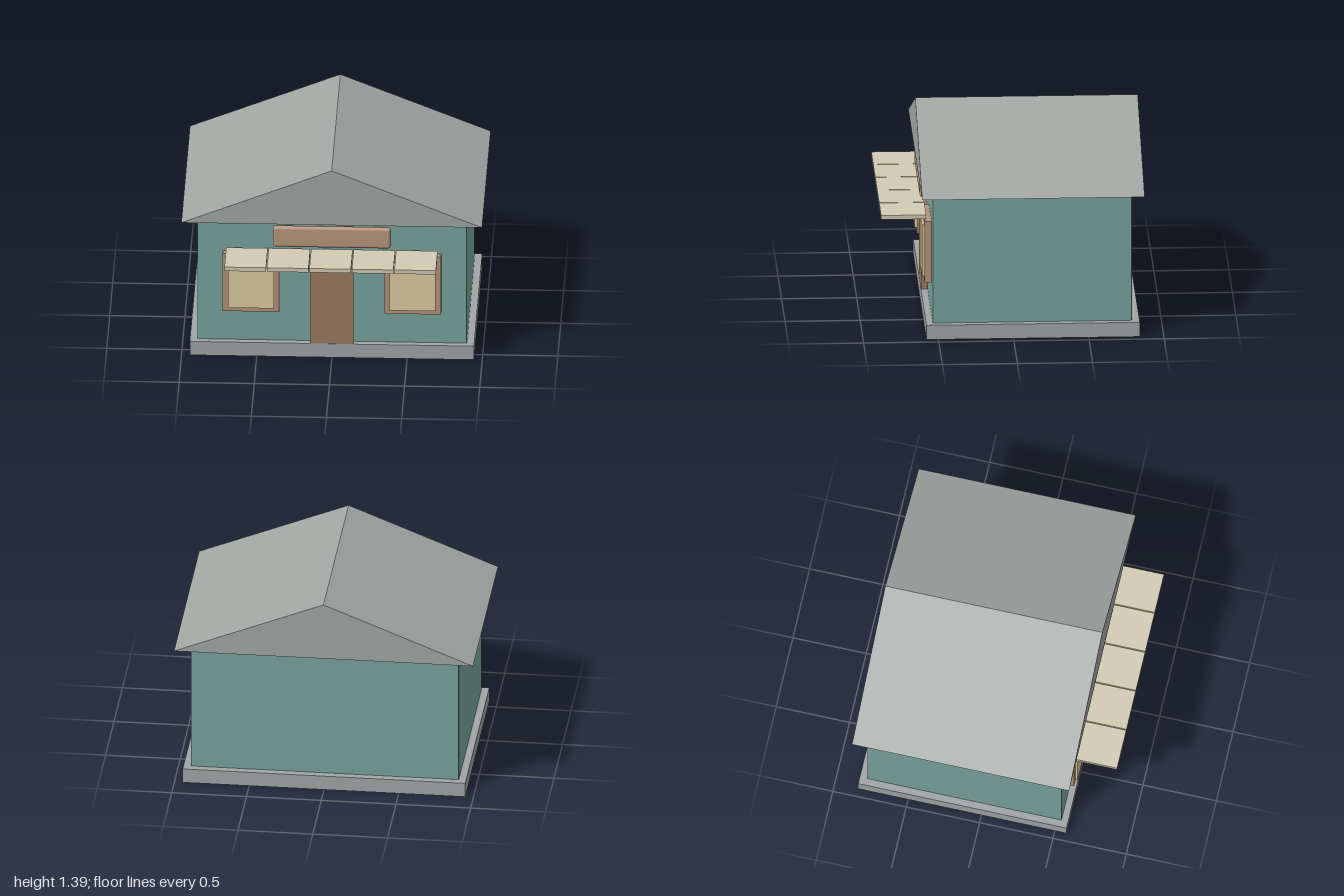
import * as THREE from 'three';
import { RoundedBoxGeometry } from 'three/addons/geometries/RoundedBoxGeometry.js';

const mat = (color, extra = {}) => {
  const m = new THREE.MeshStandardMaterial({ color });
  return Object.assign(m, extra);
};
const colors = {
  stone: mat(0xa0a5a5),
  roof: mat(0xa1a6a3, { side: THREE.DoubleSide, flatShading: true }),
  wall: mat(0x78a39d),
  frame: mat(0xb49379),
  sign: mat(0xb8957a),
  door: mat(0x9c7a5f),
  pane: mat(0xdecba0),
  awning: mat(0xd2cab4),
};

export function createModel() {
  const model = new THREE.Group();
  model.name = 'shop';

  // Places a box by its min and max corners; radius rounds its edges
  function box(name, material, [x0, y0, z0], [x1, y1, z1], radius = 0, segments = 2) {
    const size = [x1 - x0, y1 - y0, z1 - z0];
    const geometry = radius
      ? new RoundedBoxGeometry(...size, segments, radius)
      : new THREE.BoxGeometry(...size);
    const mesh = new THREE.Mesh(geometry, material);
    mesh.position.set((x0 + x1) / 2, (y0 + y1) / 2, (z0 + z1) / 2);
    mesh.name = name;
    model.add(mesh);
    return mesh;
  }

  // Base slab and walls
  box('foundation', colors.stone, [-0.945, 0, -0.84], [0.945, 0.1, 0.58]);
  box('walls', colors.wall, [-0.897, 0.095, -0.79], [0.897, 0.99, 0.535], 0.006);

  // Gable roof: two slopes and two gables, open underneath
  const [eave, ridge, back, front] = [0.99, 1.39, -0.87, 0.61];
  const corners = [
    [-1, eave, front], [1, eave, front], [0, ridge, front],
    [-1, eave, back], [1, eave, back], [0, ridge, back],
  ];
  const faces = [0, 1, 2, 4, 3, 5, 1, 4, 5, 1, 5, 2, 3, 0, 2, 3, 2, 5];
  const roofGeometry = new THREE.BufferGeometry();
  roofGeometry.setAttribute('position',
    new THREE.Float32BufferAttribute(faces.flatMap((i) => corners[i]), 3));
  roofGeometry.computeVertexNormals();
  const roof = new THREE.Mesh(roofGeometry, colors.roof);
  roof.name = 'roof';
  model.add(roof);

  // Door
  box('door', colors.door, [-0.143, 0.098, 0.52], [0.143, 0.663, 0.578]);

  // Framed windows on both sides of the door
  for (const [side, label] of [[-1, 'right'], [1, 'left']]) {
    const frame = box(`${label}WindowFrame`, colors.frame,
      [-0.188, 0.33, 0.53], [0.188, 0.755, 0.582]);
    const pane = box(`${label}WindowPane`, colors.pane,
      [-0.153, 0.362, 0.57], [0.153, 0.718, 0.598]);
    frame.position.x = pane.position.x = side * 0.538;
  }

  // Awning of five flat panels
  for (let i = -2; i <= 2; i++) {
    const x = i * 0.2825;
    box(`awningPanel${i + 3}`, colors.awning,
      [x - 0.138, 0.764, 0.57], [x + 0.138, 0.793, 0.87]);
  }

  // Blank sign board with rounded edges
  box('signBoard', colors.sign, [-0.393, 0.812, 0.557], [0.393, 0.963, 0.598], 0.0204, 2);

  return model;
}
